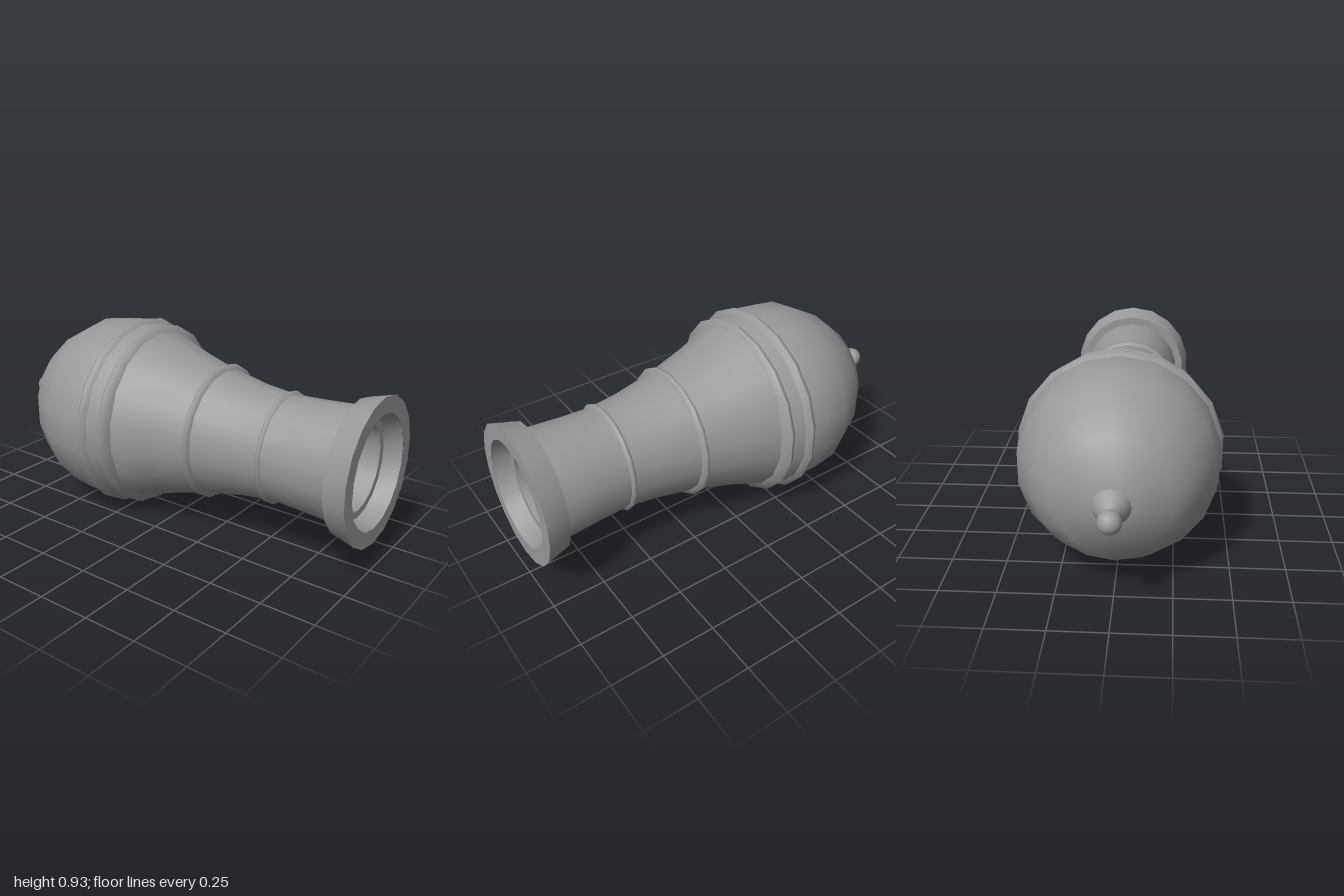
import * as THREE from 'three';
import { toCreasedNormals } from 'three/addons/utils/BufferGeometryUtils.js';

const SIDES = 18;
const AXIS_HEIGHT = 0.47;
const material = new THREE.MeshStandardMaterial({ color: 0x999999 });

// Turned part around the z axis; profile is [z, radius], outer wall from back to front.
// squash narrows the part slightly from side to side.
function turned(name, profile, { squash = 1, sides = SIDES, crease = 0.6 } = {}) {
  const points = profile.map(([z, r]) => new THREE.Vector2(r, z));
  const geometry = new THREE.LatheGeometry(points, sides)
    .rotateX(Math.PI / 2)
    .scale(squash, 1, 1);
  const mesh = new THREE.Mesh(toCreasedNormals(geometry, crease), material);
  mesh.name = name;
  return mesh;
}

// Raised moulding with a softly shaded crest
function band(name, z, width, crestWidth, [rBack, rCrest, rFront], squash) {
  return turned(name, [
    [z - width / 2, rBack], [z - crestWidth / 2, rCrest],
    [z + crestWidth / 2, rCrest], [z + width / 2, rFront],
  ], { squash, crease: 1.6 });
}

export function createModel() {
  const model = new THREE.Group();
  model.name = 'barrel';
  const parts = new THREE.Group();
  parts.name = 'turnedParts';
  parts.position.y = AXIS_HEIGHT;
  model.add(parts);

  // Rounded breech
  parts.add(turned('breech', [
    [-0.835, 0], [-0.835, 0.083], [-0.755, 0.26], [-0.66, 0.347], [-0.5, 0.436],
    [-0.37, 0.452], [-0.27, 0.448], [-0.17, 0.428],
  ]));

  // Waisted barrel and flared muzzle
  parts.add(turned('barrelWall', [
    [-0.17, 0.423], [0, 0.36], [0.21, 0.3], [0.4, 0.263], [0.55, 0.246],
    [0.7, 0.252], [0.89, 0.265], [0.89, 0.305], [1, 0.335], [1, 0.26],
  ], { squash: 0.955 }));

  // Chamfered mouth, ledge and tapering bore with a flat end
  parts.add(turned('bore', [
    [1, 0.26], [0.92, 0.235], [0.92, 0.2], [-0.3, 0.147], [-0.3, 0],
  ], { squash: 0.95 }));

  // Mouldings along the barrel
  parts.add(band('frontBand', 0.55, 0.03, 0.01, [0.245, 0.262, 0.245], 0.95));
  parts.add(band('middleBand', 0.21, 0.035, 0.012, [0.303, 0.322, 0.295], 0.97));
  parts.add(band('rearBand', -0.168, 0.05, 0.006, [0.43, 0.446, 0.395], 1));
  parts.add(band('breechBand', -0.272, 0.055, 0.006, [0.447, 0.467, 0.437], 1.005));

  // Knob on a bell-shaped neck
  parts.add(turned('knobNeck', [
    [-0.92, 0.022], [-0.9, 0.032], [-0.87, 0.06], [-0.83, 0.082],
  ], { sides: 16, crease: 0.8 }));
  const ball = new THREE.Mesh(new THREE.SphereGeometry(0.05, 16, 12).rotateX(Math.PI / 2), material);
  ball.name = 'knobBall';
  ball.position.z = -0.95;
  parts.add(ball);

  return model;
}
